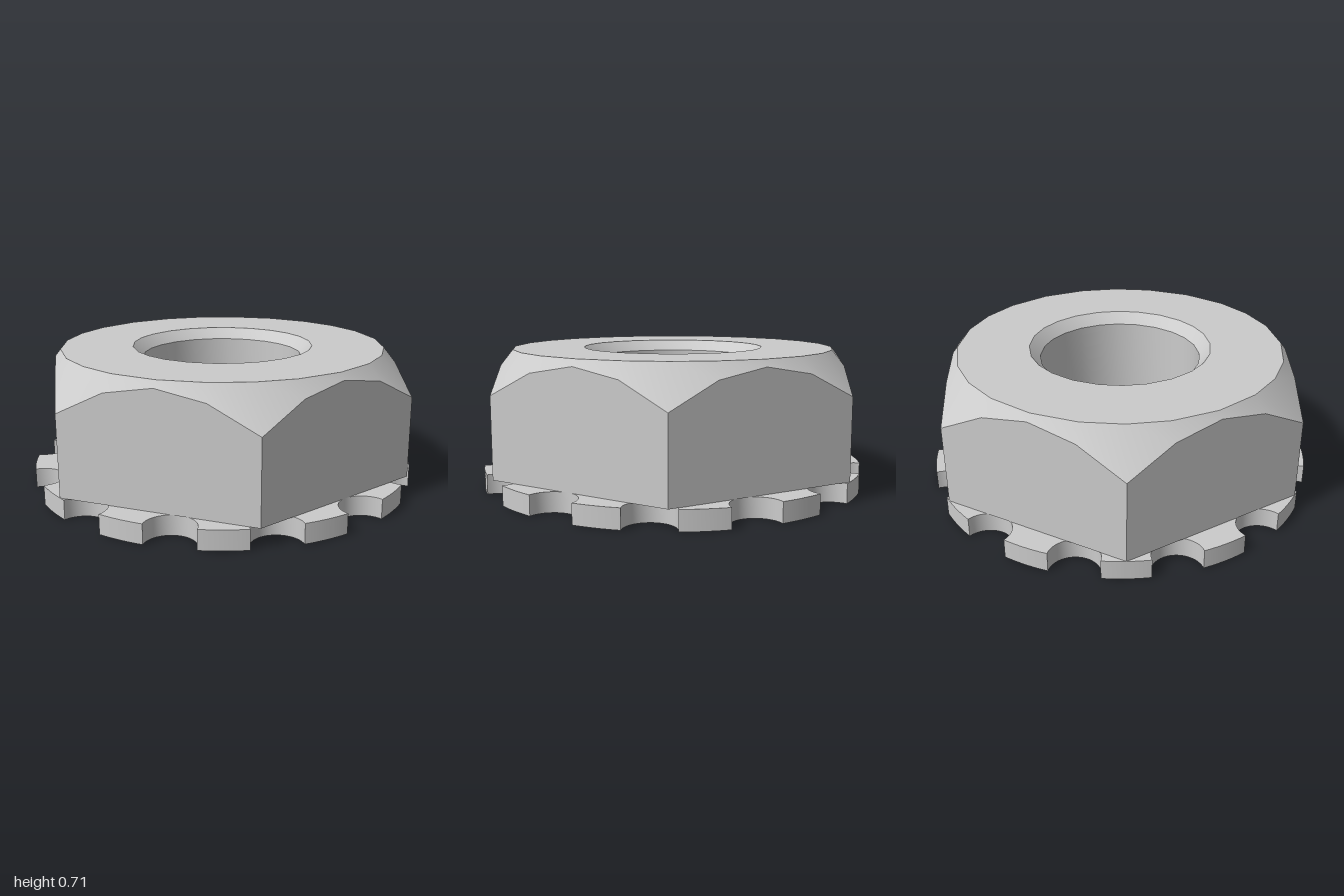
import * as THREE from 'three';
import { toCreasedNormals } from 'three/addons/utils/BufferGeometryUtils.js';

const material = new THREE.MeshStandardMaterial({ color: 0xcccccc });
const WASHER_TOP = 0.1, NUT_TOP = 0.715;
const BORE = 0.415, LIP = 0.35, RECESS = 0.59;

function addPart(group, name, geometry) {
  const mesh = new THREE.Mesh(toCreasedNormals(geometry, 0.55), material);
  mesh.name = name;
  group.add(mesh);
}

// Hexagonal nut: closed loop of rings, from the underside out, up and down the bore
function nutGeometry() {
  const perSide = 4, count = 6 * perSide;
  const rim = [];
  for (let i = 0; i < count; i++) {
    const side = Math.floor(i / perSide), t = (i % perSide) / perSide;
    const a = side * Math.PI / 3, b = a + Math.PI / 3;
    rim.push(new THREE.Vector2(
      Math.cos(a) * (1 - t) + Math.cos(b) * t,
      Math.sin(a) * (1 - t) + Math.sin(b) * t));
  }
  const circle = (r, y) => rim.map(p => [p.x / p.length() * r, y, p.y / p.length() * r]);
  const rings = [
    circle(BORE, WASHER_TOP),
    rim.map(p => [p.x, WASHER_TOP, p.y]),
    // conical chamfer meets each flat in a curved line
    rim.map(p => [p.x, NUT_TOP - (p.length() - 0.84) * 1.25, p.y]),
    circle(0.84, NUT_TOP),
    circle(0.47, NUT_TOP),
    circle(BORE, 0.66),
  ];
  const index = [], n = rings.length;
  for (let k = 0; k < n; k++) {
    for (let i = 0; i < count; i++) {
      const j = (i + 1) % count, m = (k + 1) % n;
      const a = k * count + i, b = k * count + j, c = m * count + j, d = m * count + i;
      index.push(a, d, c, a, c, b);
    }
  }
  const geometry = new THREE.BufferGeometry();
  geometry.setAttribute('position', new THREE.Float32BufferAttribute(rings.flat(2), 3));
  geometry.setIndex(index);
  geometry.computeVertexNormals();
  return geometry;
}

// Washer outline: thirteen teeth separated by round notches
function washerGeometry() {
  const teeth = 13, step = 2 * Math.PI / teeth;
  const centre = 0.99, r = 0.125;
  const half = Math.acos((1 + centre * centre - r * r) / (2 * centre));
  const sweep = Math.atan2(Math.sin(half), Math.cos(half) - centre);
  const shape = new THREE.Shape();
  for (let i = 0; i < teeth; i++) {
    const a = i * step;
    shape.absarc(centre * Math.cos(a), centre * Math.sin(a), r,
      a - sweep, a + sweep, true);
    shape.absarc(0, 0, 1, a + half, a + step - half, false);
  }
  const hole = new THREE.Path();
  hole.absarc(0, 0, RECESS, 0, 2 * Math.PI, true);
  shape.holes.push(hole);
  const geometry = new THREE.ExtrudeGeometry(shape,
    { depth: WASHER_TOP, bevelEnabled: false, curveSegments: 12 });
  return geometry.rotateX(-Math.PI / 2);
}

// Thinner inner ring, recessed from below and forming a lip under the bore
function innerRingGeometry() {
  const profile = [[RECESS, WASHER_TOP], [LIP, WASHER_TOP], [LIP, 0.025], [RECESS, 0.025]]
    .map(([x, y]) => new THREE.Vector2(x, y)).reverse();
  // run the profile so that the faces point away from the ring
  return new THREE.LatheGeometry(profile.reverse(), 32);
}

export function createModel() {
  const group = new THREE.Group();
  group.name = 'lockNut';
  addPart(group, 'hexNut', nutGeometry());
  addPart(group, 'toothedWasher', washerGeometry());
  const ring = innerRingGeometry();
  addPart(group, 'recessedRing', ring);
  return group;
}
